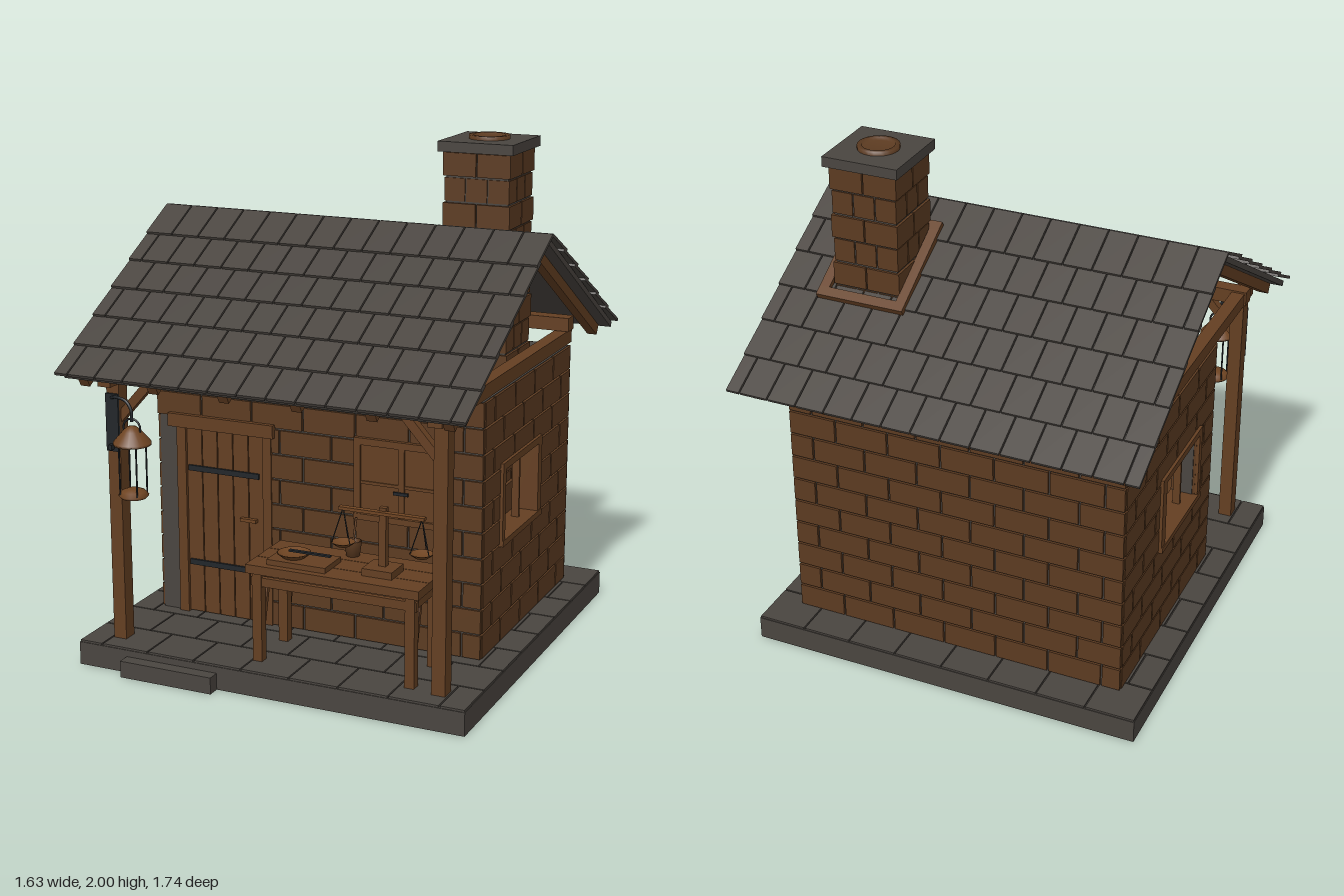
import * as THREE from 'three';
import { mergeGeometries } from 'three/addons/utils/BufferGeometryUtils.js';

const paint = (name, color) => {
  const m = new THREE.MeshStandardMaterial({ color });
  m.name = name;
  return m;
};

export function createModel() {
  const brick = paint('brown stone', 0x5c3b21);
  const wood = paint('timber', 0x643f22);
  const slate = paint('grey slate', 0x4a4540);
  const iron = paint('black iron', 0x22262a);
  const copper = paint('copper', 0x6e4422);
  const root = new THREE.Group();
  root.name = 'workshopHut';

  const add = (name, geo, mat, parent = root) => {
    const m = new THREE.Mesh(geo, mat);
    m.name = name;
    parent.add(m);
    return m;
  };
  // Box from its limits: x0, x1, y0, y1, z0, z1
  const box = (x0, x1, y0, y1, z0, z1) =>
    new THREE.BoxGeometry(x1 - x0, y1 - y0, z1 - z0).translate((x0 + x1) / 2, (y0 + y1) / 2, (z0 + z1) / 2);
  const boxes = (name, list, mat, parent) => add(name, mergeGeometries(list.map((b) => box(...b))), mat, parent);
  // Square bar or round rod between two points
  const bar = (a, b, w, round = false) => {
    const p = new THREE.Vector3(...a), q = new THREE.Vector3(...b), d = q.clone().sub(p);
    const g = round ? new THREE.CylinderGeometry(w / 2, w / 2, d.length(), 8) : new THREE.BoxGeometry(w, d.length(), w);
    g.applyQuaternion(new THREE.Quaternion().setFromUnitVectors(new THREE.Vector3(0, 1, 0), d.normalize()));
    return g.translate((p.x + q.x) / 2, (p.y + q.y) / 2, (p.z + q.z) / 2);
  };
  const lathe = (pts, seg = 20) => new THREE.LatheGeometry(pts.map((p) => new THREE.Vector2(...p)), seg);

  // Base slab, doorstep and paving
  boxes('base', [[-0.8, 0.8, 0, 0.092, -0.79, 0.79], [-0.59, -0.2, 0, 0.066, 0.79, 0.84]], slate);
  const flags = [];
  for (let r = 0; r < 8; r++) {
    const z = -0.79 + r * 0.1975, shift = r % 2 ? 0.1 : 0;
    for (let x = -0.8 - shift; x < 0.79; x += 0.2) {
      flags.push([Math.max(x, -0.8) + 0.003, Math.min(x + 0.2, 0.8) - 0.003, 0.09, 0.1, z + 0.003, z + 0.1945]);
    }
  }
  boxes('paving', flags, slate);

  // Coursed walls: a grey core with staggered stones, cut around one opening [u0, u1, y0, y1]
  const rowH = 0.101;
  function wall(name, u0, u1, stoneGap, coreGap, position, turn) {
    const g = new THREE.Group();
    g.name = name;
    g.position.set(...position);
    g.rotation.y = turn;
    root.add(g);
    const stones = [];
    for (let r = 0; r < 10; r++) {
      const y = 0.1 + r * rowH, cut = stoneGap && y + 0.05 > stoneGap[2] && y + 0.05 < stoneGap[3];
      for (let u = u0 - (r % 2 ? 0.12 : 0.02); u < u1; u += 0.22) {
        const a = Math.max(u, u0), b = Math.min(u + 0.22, u1);
        const spans = cut ? [[a, Math.min(b, stoneGap[0])], [Math.max(a, stoneGap[1]), b]] : [[a, b]];
        for (const [s, e] of spans) {
          if (e - s > 0.015) stones.push([s + 0.004, e - 0.004, y + 0.004, y + rowH - 0.004, -0.1, 0]);
        }
      }
    }
    boxes('stones', stones, brick, g);
    const top = 0.1 + 10 * rowH - 0.002, c = coreGap;
    const core = c
      ? [[u0 + 0.01, c[0], 0.1, top, -0.09, -0.01], [c[1], u1 - 0.01, 0.1, top, -0.09, -0.01], [c[0], c[1], c[3], top, -0.09, -0.01]]
      : [[u0 + 0.01, u1 - 0.01, 0.1, top, -0.09, -0.01]];
    if (c && c[2] > 0.11) core.push([c[0], c[1], 0.1, c[2], -0.09, -0.01]);
    boxes('core', core, slate, g);
    return g;
  }
  wall('frontWall', -0.69, 0.69, [-0.69, -0.2, 0, 0.9], [-0.57, -0.2, 0.1, 0.9], [0, 0, 0.345], 0);
  wall('backWall', -0.69, 0.69, null, null, [0, 0, -0.65], Math.PI);
  for (const s of [1, -1]) {
    // Wall direction runs to -z on the +x side and to +z on the other
    const gap = s > 0 ? [-0.13, 0.24, 0.5, 0.81] : [-0.24, 0.13, 0.5, 0.81];
    const ends = s > 0 ? [-0.335, 0.64] : [-0.64, 0.335];
    const side = wall(s > 0 ? 'leftWall' : 'rightWall', ...ends, gap, gap, [s * 0.69, 0, 0], s * Math.PI / 2);
    const m = (z) => -s * z;
    const strip = (za, zb, y0, y1, d0, d1) => [Math.min(m(za), m(zb)), Math.max(m(za), m(zb)), y0, y1, d0, d1];
    boxes('sideWindow', [
      strip(0.165, -0.275, 0.8, 0.828, -0.1, 0.012), strip(0.165, -0.275, 0.498, 0.522, -0.1, 0.016),
      strip(0.165, 0.135, 0.51, 0.81, -0.1, 0.012), strip(-0.235, -0.275, 0.51, 0.81, -0.1, 0.012),
      strip(0.054, 0.042, 0.51, 0.81, -0.06, -0.03), strip(-0.13, -0.142, 0.51, 0.81, -0.06, -0.03),
    ], wood, side);
  }

  // Door with frame, planks, straps and handle
  const planks = [];
  for (let i = 0; i < 5; i++) planks.push([-0.56 + i * 0.068 + 0.002, -0.492 + i * 0.068 - 0.002, 0.105, 0.87, 0.3, 0.34]);
  boxes('doorPlanks', planks, wood);
  boxes('doorFrame', [[-0.63, -0.17, 0.872, 0.925, 0.26, 0.365], [-0.6, -0.56, 0.1, 0.872, 0.26, 0.35],
    [-0.222, -0.185, 0.1, 0.872, 0.26, 0.35]], wood);
  boxes('doorStraps', [[-0.55, -0.24, 0.695, 0.717, 0.34, 0.349], [-0.55, -0.24, 0.303, 0.325, 0.34, 0.349]], iron);
  boxes('doorHandle', [[-0.32, -0.25, 0.517, 0.53, 0.34, 0.358]], copper);

  // Shuttered front window
  boxes('frontWindow', [[0.18, 0.55, 0.61, 0.91, 0.33, 0.35], [0.17, 0.56, 0.895, 0.922, 0.33, 0.362],
    [0.17, 0.56, 0.598, 0.622, 0.33, 0.362], [0.17, 0.197, 0.6, 0.92, 0.33, 0.36], [0.533, 0.56, 0.6, 0.92, 0.33, 0.36],
    [0.353, 0.377, 0.6, 0.92, 0.33, 0.358], [0.18, 0.55, 0.74, 0.752, 0.33, 0.355]], wood);
  boxes('shutterLatch', [[0.335, 0.395, 0.715, 0.727, 0.357, 0.365]], iron);

  // Porch posts, beams and corner braces
  const frame = [[-0.7, 0.7, 1.125, 1.185, 0.65, 0.71], [-0.7, 0.7, 1.18, 1.235, -0.635, -0.57]];
  for (const s of [-0.665, 0.665]) {
    frame.push([s - 0.027, s + 0.027, 0.1, 1.13, 0.65, 0.71], [s - 0.027, s + 0.027, 1.123, 1.178, -0.64, 0.77]);
  }
  boxes('timberFrame', frame, wood);
  for (const s of [1, -1]) add('cornerBrace', bar([s * 0.65, 0.985, 0.68], [s * 0.52, 1.13, 0.68], 0.035), wood);

  // Roof: two mirrored slopes of deck, rafters and overlapping slates
  const pitch = Math.atan(0.593), tileW = 1.64 / 14;
  for (const back of [false, true]) {
    const half = new THREE.Group();
    half.name = back ? 'backRoof' : 'frontRoof';
    half.rotation.y = back ? Math.PI : 0;
    const slope = new THREE.Group();
    slope.position.y = 1.68;
    slope.rotation.x = pitch;
    half.add(slope);
    root.add(half);
    boxes('deck', [[-0.8, 0.8, -0.03, -0.008, 0, 0.975]], slate, slope);
    const rafters = [];
    for (let i = 0; i < 6; i++) rafters.push([-0.75 + i * 0.292, -0.71 + i * 0.292, -0.072, -0.03, 0, 0.965]);
    boxes('rafters', rafters, wood, slope);
    const tiles = [];
    for (let r = 0; r < 6; r++) {
      const end = 0.19 + r * 0.162, len = r ? 0.2 : 0.19;
      for (let x = -0.82 - (r % 2 ? tileW / 2 : 0); x < 0.81; x += tileW) {
        const g = box(Math.max(x, -0.82) + 0.003, Math.min(x + tileW, 0.82) - 0.003, -0.006, 0.006, -len, 0);
        tiles.push(g.rotateX(-0.06).translate(0, 0.012, end));
      }
    }
    add('slates', mergeGeometries(tiles), slate, slope);
    // Boards around the chimney foot
    if (back) {
      boxes('chimneyFlashing', [[-0.64, -0.6, -0.01, 0.035, 0.12, 0.535], [-0.32, -0.28, -0.01, 0.035, 0.12, 0.535],
        [-0.64, -0.28, -0.01, 0.035, 0.12, 0.16], [-0.64, -0.28, -0.01, 0.035, 0.495, 0.535]], wood, slope);
    }
  }

  // Chimney of alternating courses, cap, pot and hearth
  const cx = 0.455, cz = -0.28, courses = [];
  for (let r = 0; r < 19; r++) {
    const y = 0.1 + r * 0.0971, n = r % 2 ? 3 : 2, w = r % 2 ? 0.27 : 0.28, s = w / n;
    for (let i = 0; i < n; i++) for (let k = 0; k < n; k++) {
      const x = cx - w / 2 + i * s, z = cz - w / 2 + k * s;
      courses.push([x + 0.003, x + s - 0.003, y + 0.004, y + 0.0931, z + 0.003, z + s - 0.003]);
    }
  }
  boxes('chimneyStones', courses, brick);
  boxes('chimneyCore', [[cx - 0.127, cx + 0.127, 0.1, 1.95, cz - 0.127, cz + 0.127]], slate);
  boxes('chimneyCap', [[0.302, 0.608, 1.945, 1.985, -0.437, -0.123]], slate);
  add('chimneyPot', lathe([[0.08, 1.98], [0.08, 2], [0.062, 2], [0.062, 1.988], [0, 1.988]], 24), brick).position.set(cx, 0, cz);
  boxes('hearth', [[0.28, 0.6, 0.1, 0.64, -0.46, -0.1]], brick);

  // Hanging lantern on an iron bracket
  const lantern = new THREE.Group();
  lantern.name = 'lantern';
  lantern.position.set(-0.555, 0, 0.76);
  root.add(lantern);
  boxes('bracketPlate', [[-0.692, -0.638, 0.86, 1.085, 0.705, 0.72]], iron);
  const arm = new THREE.CatmullRomCurve3([[-0.665, 1.07, 0.72], [-0.63, 1.082, 0.745], [-0.58, 1.075, 0.757], [-0.557, 1.045, 0.76],
    [-0.555, 1.0, 0.76]].map((p) => new THREE.Vector3(...p)));
  add('bracketArm', new THREE.TubeGeometry(arm, 16, 0.006, 8), iron);
  boxes('bracketStay', [[-0.672, -0.658, 0.87, 0.89, 0.72, 0.742]], iron);
  add('lanternRing', new THREE.TorusGeometry(0.036, 0.004, 8, 20).translate(0, 0.975, 0), iron, lantern);
  add('lanternHood', lathe([[0, 0.912], [0.072, 0.912], [0.072, 0.922], [0.035, 0.965], [0.018, 0.98], [0, 0.985]]), copper, lantern);
  add('lanternBase', lathe([[0, 0.705], [0.05, 0.705], [0.058, 0.715], [0.045, 0.73], [0.02, 0.74], [0, 0.74]]), copper, lantern);
  const rods = [];
  for (let i = 0; i < 4; i++) {
    const a = i * Math.PI / 2 + Math.PI / 4, x = 0.052 * Math.cos(a), z = 0.052 * Math.sin(a);
    rods.push(bar([x, 0.715, z], [x, 0.92, z], 0.007, true));
  }
  add('lanternRods', mergeGeometries(rods), iron, lantern);

  // Workbench with plank top, aprons, legs and slanted braces
  const bench = new THREE.Group();
  bench.name = 'workbench';
  root.add(bench);
  const parts = [[-0.1, 0.57, 0.4, 0.435, 0.44, 0.46], [-0.1, 0.57, 0.4, 0.435, 0.67, 0.69]];
  for (let i = 0; i < 3; i++) parts.push([-0.115, 0.585, 0.453, 0.487, 0.412 + i * 0.1, 0.509 + i * 0.1]);
  for (const x of [-0.095, 0.525]) {
    for (const z of [0.437, 0.655]) parts.push([x, x + 0.038, 0.1, 0.455, z, z + 0.038]);
    parts.push([x + 0.005, x + 0.03, 0.395, 0.435, 0.44, 0.69]);
    add('benchBrace', bar([x + 0.019, 0.22, 0.65], [x + 0.019, 0.41, 0.6], 0.018), wood, bench);
    add('benchBrace', bar([x + 0.019, 0.2, 0.435], [x + 0.019, 0.42, 0.387], 0.018), wood, bench);
  }
  boxes('benchFrame', parts, wood, bench);

  // Balance scale
  const scale = new THREE.Group();
  scale.name = 'balanceScale';
  scale.position.set(0.39, 0, 0.59);
  root.add(scale);
  boxes('scaleStand', [[-0.06, 0.06, 0.487, 0.515, -0.06, 0.05], [-0.014, 0.014, 0.51, 0.74, -0.026, 0.0]], wood, scale);
  boxes('scaleBeam', [[-0.17, 0.17, 0.716, 0.728, -0.008, 0.016]], copper, scale);
  const strings = [];
  for (const s of [-0.157, 0.157]) {
    const pan = lathe([[0, 0.57], [0.025, 0.573], [0.046, 0.588], [0.043, 0.59], [0.024, 0.578], [0, 0.576]]);
    add('scalePan', pan, copper, scale).position.x = s;
    for (let i = 0; i < 3; i++) {
      const a = i * Math.PI * 2 / 3 + Math.PI / 6;
      strings.push(bar([s, 0.72, 0], [s + 0.043 * Math.cos(a), 0.588, 0.043 * Math.sin(a)], 0.004, true));
    }
  }
  add('scaleStrings', mergeGeometries(strings), iron, scale);

  // Bench clutter: tray, dish, knife and mortar with pestle
  boxes('tray', [[-0.04, 0.2, 0.487, 0.508, 0.54, 0.68]], wood);
  add('dish', lathe([[0, 0.505], [0.04, 0.505], [0.065, 0.525], [0.06, 0.527], [0.038, 0.512], [0, 0.512]]), copper).position.set(0.04, 0, 0.61);
  boxes('knife', [[0.02, 0.19, 0.526, 0.533, 0.6, 0.615]], iron);
  add('mortar', lathe([[0, 0.487], [0.026, 0.487], [0.034, 0.545], [0.027, 0.545], [0.022, 0.5], [0, 0.5]]), brick).position.set(0.21, 0, 0.452);
  add('pestle', bar([0.21, 0.505, 0.46], [0.215, 0.632, 0.433], 0.009, true), wood);
  return root;
}
